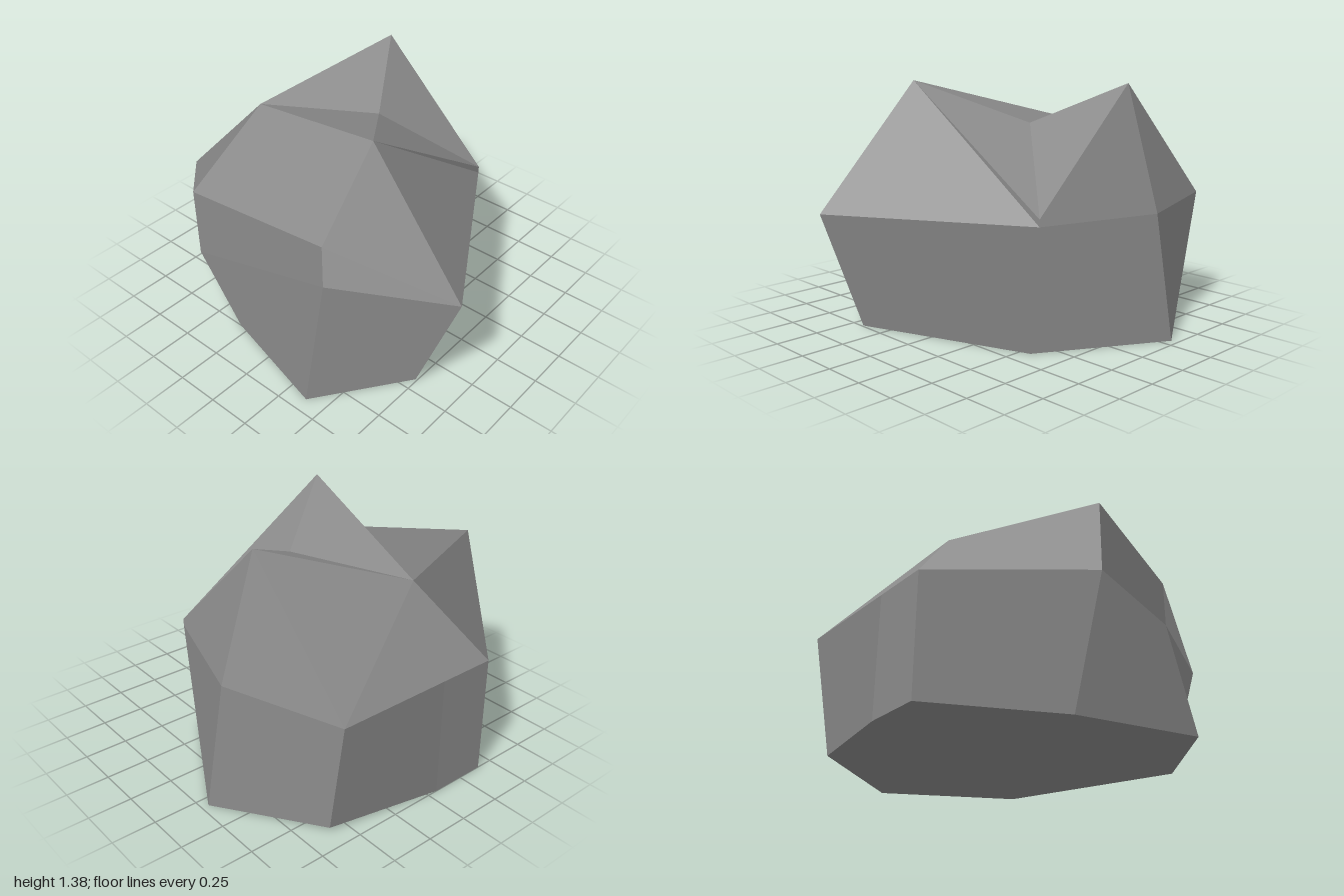
import * as THREE from 'three';

const H = 0.69; // height of the widest ring

// Points as [x, y, z]; rings run anticlockwise seen from above
const ring = [
  [-0.76, H, 0.38], [-0.42, H, 1], [0.62, H, 0.38], [0.84, H, -0.31],
  [0.62, H, -1], [-0.06, H, -1], [-0.4, H, -1], [-0.97, H, -0.31],
];
const foot = [
  [-0.92, 0, 0.38], [-0.42, 0, 0.74], [0.56, 0, 0.38], [0.96, 0, -0.31],
  [0.6, 0.02, -0.88], [-0.06, 0, -1], [-0.4, 0, -1], [-0.75, 0, -0.31],
];
const frontPeak = [-0.37, 1.38, 0.38];
const rightPeak = [0.62, 1.38, -0.31];
const saddle = [0.16, 1.15, -0.02];
const backKnee = [-0.15, 1.11, -0.66];
const leftBack = [-0.97, 1.08, -0.31];
const leftFront = [-0.76, 0.95, 0.38];
const rightLip = [0.62, 0.73, 0.38];

// Builds facets as fans; each facet carries one flat averaged normal
function facets(name, polygons, material) {
  const positions = [], normals = [];
  for (const polygon of polygons) {
    const p = polygon.map((q) => new THREE.Vector3(...q));
    const n = new THREE.Vector3();
    for (let i = 1; i < p.length - 1; i++) {
      n.add(p[i].clone().sub(p[0]).cross(p[i + 1].clone().sub(p[0])));
    }
    n.normalize();
    for (let i = 1; i < p.length - 1; i++) {
      for (const v of [p[0], p[i], p[i + 1]]) {
        positions.push(v.x, v.y, v.z);
        normals.push(n.x, n.y, n.z);
      }
    }
  }
  const geometry = new THREE.BufferGeometry();
  geometry.setAttribute('position', new THREE.Float32BufferAttribute(positions, 3));
  geometry.setAttribute('normal', new THREE.Float32BufferAttribute(normals, 3));
  const mesh = new THREE.Mesh(geometry, material);
  mesh.name = name;
  return mesh;
}

export function createModel() {
  const stone = new THREE.MeshStandardMaterial({ color: 0x8a8a8a });
  stone.name = 'grey stone';
  const rock = new THREE.Group();
  rock.name = 'rock';
  const [a, b, c, d, e, f, g, h] = ring;

  // Lower walls between the foot and the widest ring
  const walls = ring.map((m, i) => {
    const j = (i + 1) % ring.length;
    return [m, foot[i], foot[j], ring[j]];
  });
  rock.add(facets('lowerWalls', walls, stone));

  // Shoulders rising from the ring to the peaks
  rock.add(facets('shoulders', [
    [leftBack, h, a, leftFront],
    [leftFront, a, b, frontPeak],
    [frontPeak, b, c],
    [frontPeak, c, rightLip],
    [rightLip, c, d, rightPeak],
    [rightPeak, d, e],
    [backKnee, rightPeak, e],
    [backKnee, e, f, g],
    [leftBack, backKnee, g, h],
  ], stone));

  // Crown with the two peaks and the saddle between them
  rock.add(facets('crown', [
    [leftFront, frontPeak, backKnee, leftBack],
    [frontPeak, saddle, backKnee],
    [backKnee, saddle, rightPeak],
    [frontPeak, rightLip, saddle],
    [saddle, rightLip, rightPeak],
  ], stone));

  // Underside, fanned from a back corner
  const under = [];
  for (let i = 1; i < foot.length - 1; i++) {
    under.push([foot[5], foot[(6 + i) % 8], foot[(5 + i) % 8]]);
  }
  rock.add(facets('underside', under, stone));

  return rock;
}
